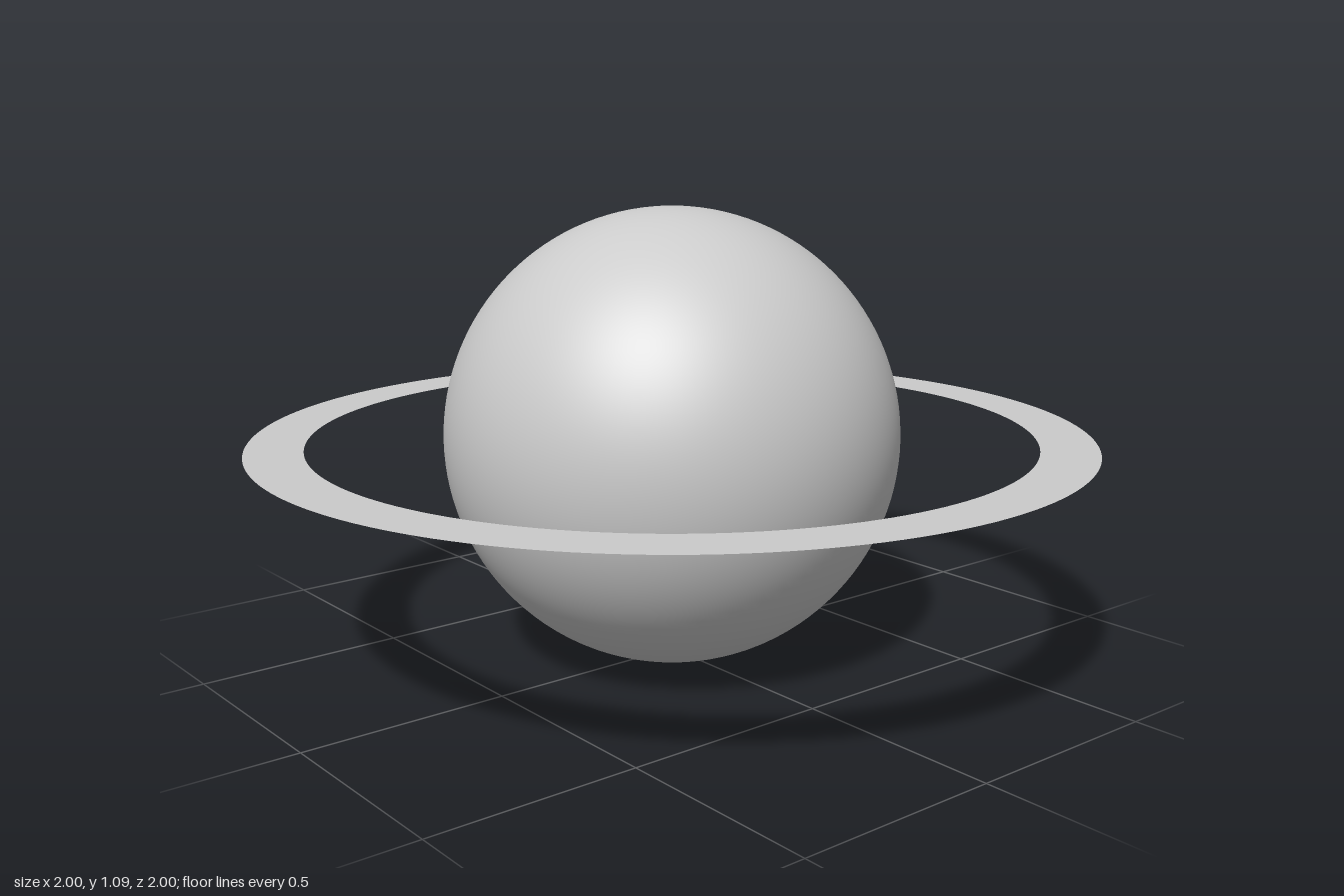
import * as THREE from 'three';

const RADIUS = 0.544;
const RING_INNER = 0.864;
const RING_OUTER = 1;

export function createModel() {
  const model = new THREE.Group();
  model.name = 'ringedPlanet';

  // Smooth globe resting on the ground plane
  const globe = new THREE.Mesh(
    new THREE.SphereGeometry(RADIUS, 128, 64),
    new THREE.MeshStandardMaterial({ color: 0xcccccc })
  );
  globe.name = 'globe';
  globe.position.y = RADIUS;

  // Paper-thin flat ring around the equator, seen from both sides
  const ring = new THREE.Mesh(
    new THREE.RingGeometry(RING_INNER, RING_OUTER, 160).rotateX(-Math.PI / 2),
    new THREE.MeshStandardMaterial({ color: 0xcccccc, side: THREE.DoubleSide })
  );
  ring.name = 'ring';
  ring.position.y = RADIUS;

  model.add(globe, ring);
  return model;
}
